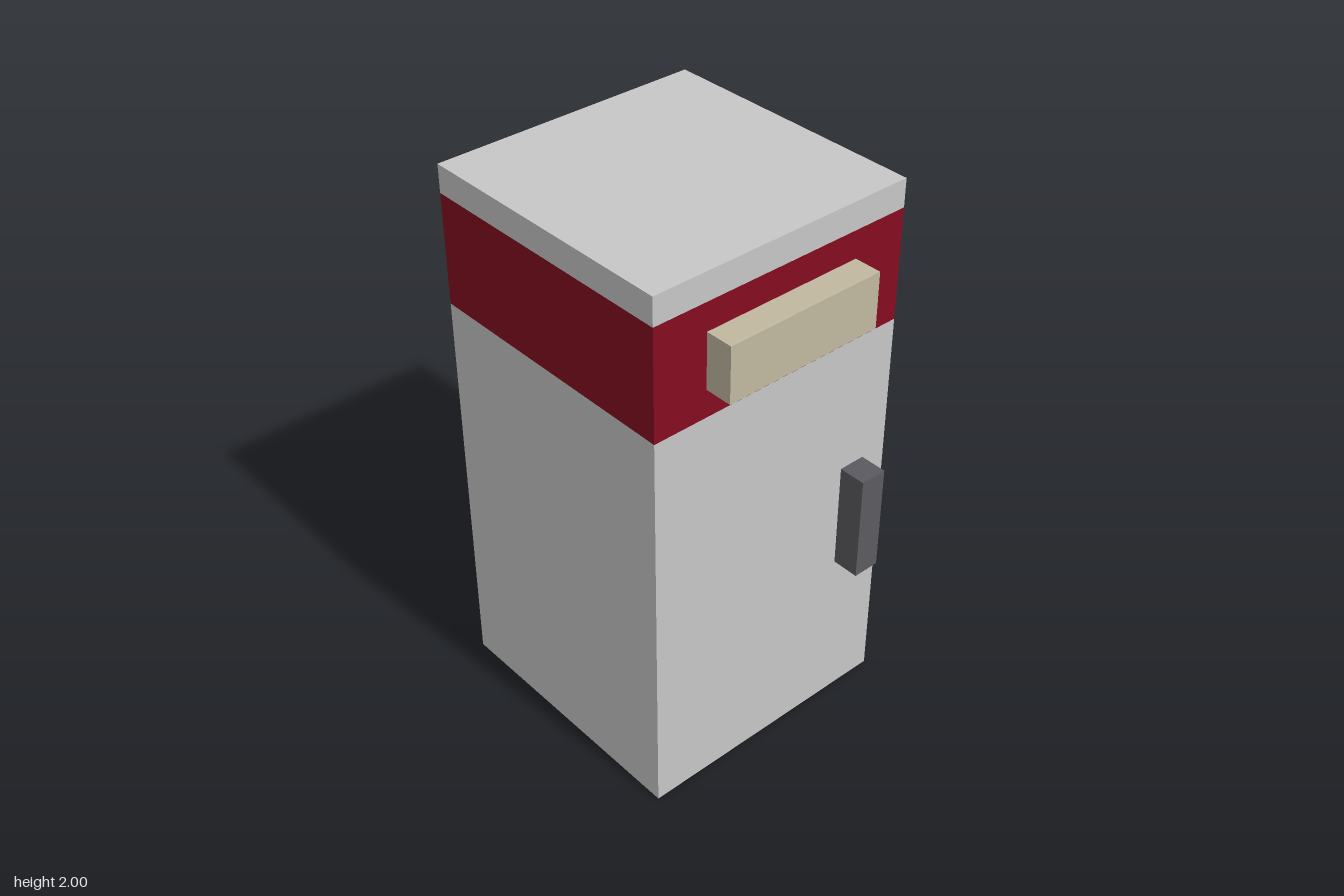
import * as THREE from 'three';

const material = (name, color) => {
  const m = new THREE.MeshStandardMaterial({ color, side: THREE.DoubleSide });
  m.name = name;
  return m;
};

export function createModel() {
  const group = new THREE.Group();
  const gray = material('light gray', 0xc7c7c7);
  const red = material('dark red', 0x850d20);
  const beige = material('beige', 0xc1b8a0);
  const dark = material('dark gray', 0x5b5a60);
  const green = material('dark green', 0x2d522d);

  const box = (name, mat, w, h, d, x, y, z) => {
    const mesh = new THREE.Mesh(new THREE.BoxGeometry(w, h, d), mat);
    mesh.name = name;
    mesh.position.set(x, y, z);
    group.add(mesh);
  };
  const plate = (parent, name, mat, w, h, x, y, z, rx = 0, ry = 0) => {
    const mesh = new THREE.Mesh(new THREE.PlaneGeometry(w, h), mat);
    mesh.name = name;
    mesh.position.set(x, y, z);
    mesh.rotation.set(rx, ry, 0);
    parent.add(mesh);
  };

  // Hollow square cabinet, open at the bottom, in three stacked sections
  const cz = -0.05;
  for (const [name, mat, y0, y1] of [
    ['cabinetBody', gray, 0, 1.5], ['colourBand', red, 1.5, 1.9], ['topRim', gray, 1.9, 2],
  ]) {
    const section = new THREE.Group();
    section.name = name;
    for (let i = 0; i < 4; i++) {
      const a = i * Math.PI / 2;
      plate(section, name + 'Wall', mat, 1, y1 - y0,
        Math.sin(a) * 0.5, (y0 + y1) / 2, cz + Math.cos(a) * 0.5, 0, a);
    }
    group.add(section);
  }
  plate(group, 'lid', gray, 1, 1, 0, 2, cz, -Math.PI / 2);

  // Sign panel and door handle on the front
  box('signPanel', beige, 0.6, 0.2, 0.1, 0, 1.7, 0.5);
  box('doorHandle', dark, 0.1, 0.4, 0.1, 0.35, 0.8, 0.5);

  // Slotted panel behind the door, with green slot linings
  const slats = new THREE.Group();
  slats.name = 'innerSlats';
  const y0 = 0.1, h = 1.3, yc = y0 + h / 2;
  for (const [x0, x1, closed] of [
    [-0.4, -0.3, false], [-0.2, -0.1, true], [0, 0.1, true], [0.2, 0.4, false],
  ]) {
    const xc = (x0 + x1) / 2;
    plate(slats, 'slatBack', gray, x1 - x0, h, xc, yc, 0.25, 0, Math.PI);
    for (const x of [x0, x1]) {
      const outer = Math.abs(x) > 0.39;
      plate(slats, 'slatSide', outer ? gray : green, 0.1, h, x, yc, 0.3, 0,
        x === x1 ? Math.PI / 2 : -Math.PI / 2);
    }
    if (closed) plate(slats, 'slatFoot', gray, x1 - x0, 0.1, xc, y0, 0.3, Math.PI / 2);
  }
  group.add(slats);
  return group;
}
